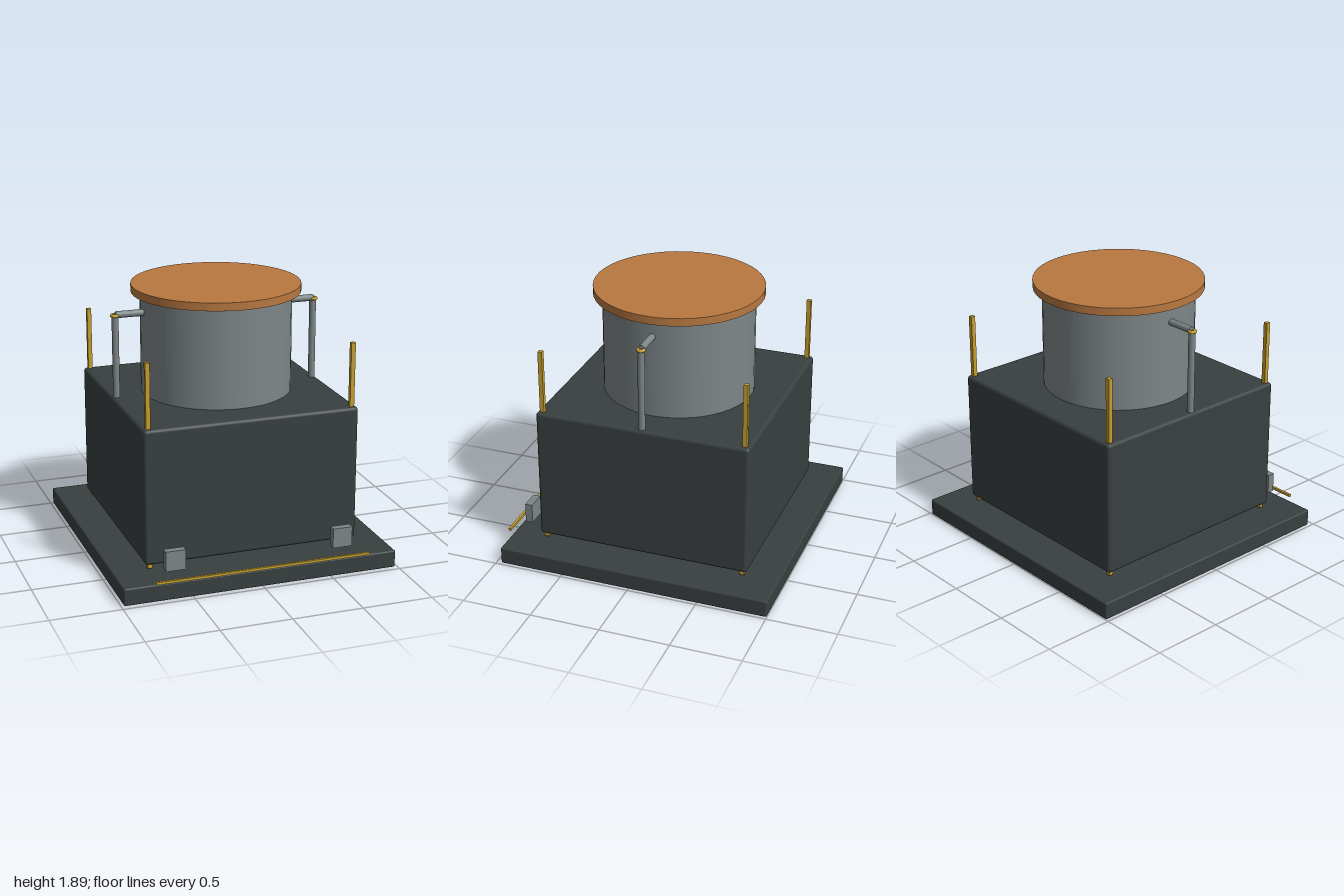
import * as THREE from 'three';
import { RoundedBoxGeometry } from 'three/addons/geometries/RoundedBoxGeometry.js';

export function createModel() {
  const model = new THREE.Group();
  model.name = 'boilerUnit';

  const material = (name, color) => {
    const m = new THREE.MeshStandardMaterial({ color });
    m.name = name;
    return m;
  };
  const darkIron = material('dark iron', 0x394040);
  const steel = material('steel grey', 0x7d8688);
  const copper = material('copper', 0xb87840);
  const brass = material('brass', 0xc6a030);

  const body = new THREE.Group(); // everything centred on the base
  body.name = 'body';
  body.position.z = -0.018;
  model.add(body);

  const add = (parent, name, geometry, mat, x, y, z) => {
    const mesh = new THREE.Mesh(geometry, mat);
    mesh.name = name;
    mesh.position.set(x, y, z);
    parent.add(mesh);
    return mesh;
  };

  // Base slab and main housing
  add(body, 'baseSlab', new RoundedBoxGeometry(1.964, 0.124, 1.964, 3, 0.012), darkIron, 0, 0.062, 0);
  add(body, 'housing', new RoundedBoxGeometry(1.536, 0.96, 1.536, 4, 0.025), darkIron, 0, 0.65, 0);

  // Drum with softened rim, and the floating lid
  const drumProfile = [[0, 1.1], [0.532, 1.1], [0.532, 1.816], [0.526, 1.822], [0, 1.822]];
  const drumPoints = drumProfile.map(([r, y]) => new THREE.Vector2(r, y));
  const side = new THREE.CylinderGeometry(0.532, 0.532, 0.722, 48);
  add(body, 'drum', side, steel, 0, (drumPoints[0].y + drumPoints[4].y) / 2, 0);
  add(body, 'lid', new THREE.CylinderGeometry(0.595, 0.595, 0.056, 48), copper, 0, 1.867, 0);

  // Square corner posts
  const postGeometry = new THREE.BoxGeometry(0.031, 1.445, 0.031);
  for (const sx of [-1, 1]) {
    for (const sz of [-1, 1]) {
      add(body, 'cornerPost', postGeometry, brass, sx * 0.728, 0.8615, sz * 0.728);
    }
  }

  // Side pipes: riser, brass collar and feed into the drum
  for (const s of [-1, 1]) {
    const pipe = new THREE.Group();
    pipe.name = s > 0 ? 'leftPipe' : 'rightPipe';
    body.add(pipe);
    add(pipe, 'riser', new THREE.CylinderGeometry(0.024, 0.024, 0.62, 20), steel, s * 0.732, 1.41, 0);
    add(pipe, 'feed', new THREE.CylinderGeometry(0.024, 0.024, 0.23, 20), steel, s * 0.613, 1.72, 0)
      .rotation.z = Math.PI / 2;
    add(pipe, 'collar', new THREE.TorusGeometry(0.021, 0.012, 10, 20), brass, s * 0.734, 1.715, 0)
      .rotation.x = Math.PI / 2;
  }

  // Front blocks and the thin rail ahead of the base
  for (const s of [-1, 1]) {
    add(model, 'frontBlock', new THREE.BoxGeometry(0.141, 0.142, 0.053), steel, s * 0.603, 0.252, 0.88);
  }
  add(model, 'frontRail', new THREE.BoxGeometry(1.536, 0.018, 0.018), brass, 0, 0.147, 0.991);

  return model;
}
